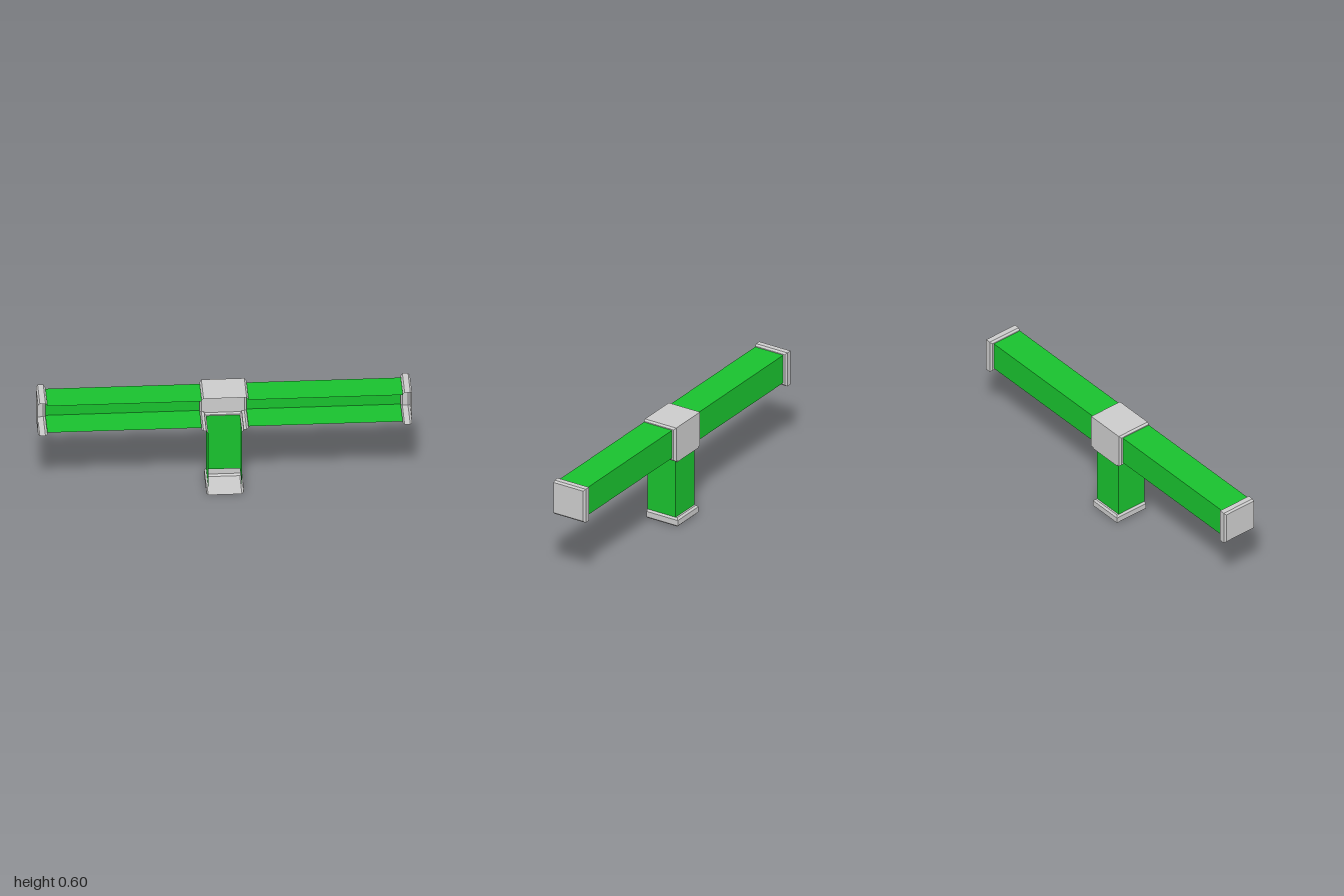
import * as THREE from 'three';

const FRONT = 0.1; // every channel is cut open along this plane

const grey = new THREE.MeshStandardMaterial({ color: 0xcccccc, flatShading: true, side: THREE.DoubleSide });
const green = new THREE.MeshStandardMaterial({ color: 0x19c12e, flatShading: true, side: THREE.DoubleSide });

// Skins U-shaped sections [s, low, high, back, openLow], open to the front.
// s runs along x (horizontal) or y (vertical); a section with back = FRONT closes an end.
function channel(name, sections, vertical, material) {
  const point = (s, t, z) => vertical ? new THREE.Vector3(t, s, z) : new THREE.Vector3(s, t, z);
  const rows = sections.map(([s, lo, hi, back]) =>
    [point(s, lo, FRONT), point(s, lo, back), point(s, hi, back), point(s, hi, FRONT)]);
  const positions = [];
  const addTriangle = (a, b, c) => {
    const area = b.clone().sub(a).cross(c.clone().sub(a)).length();
    if (area < 1e-8) return;
    for (const p of vertical ? [a, b, c] : [a, c, b]) positions.push(p.x, p.y, p.z);
  };
  for (let i = 0; i + 1 < rows.length; i++) {
    for (let j = 0; j < 3; j++) {
      if (j === 0 && sections[i][4]) continue;
      const a = rows[i][j], b = rows[i + 1][j], c = rows[i + 1][j + 1], d = rows[i][j + 1];
      addTriangle(a, b, c);
      addTriangle(a, c, d);
    }
  }
  const geometry = new THREE.BufferGeometry();
  geometry.setAttribute('position', new THREE.Float32BufferAttribute(positions, 3));
  geometry.computeVertexNormals();
  const mesh = new THREE.Mesh(geometry, material);
  mesh.name = name;
  return mesh;
}

// Same sections seen from the other end
const mirrored = (sections) => sections.map(([s, ...rest]) => [-s, ...rest]).reverse();

export function createModel() {
  const model = new THREE.Group();
  model.name = 'teeDuct';

  // Horizontal arms and their bevelled end caps
  const arm = [[0.125, 0.42, 0.585, -0.08], [0.95, 0.42, 0.585, -0.08]];
  const cap = [
    [0.95, 0.42, 0.585, -0.08],
    [0.95, 0.41, 0.59, -0.09],
    [0.96, 0.4, 0.6, -0.1],
    [0.99, 0.4, 0.6, -0.1],
    [1, 0.41, 0.59, -0.09],
    [1, 0.41, 0.59, FRONT],
  ];
  model.add(channel('leftArm', arm, false, green));
  model.add(channel('rightArm', mirrored(arm), false, green));
  model.add(channel('leftEndCap', cap, false, grey));
  model.add(channel('rightEndCap', mirrored(cap), false, grey));

  // Central joint, its floor open above the leg
  const half = [
    [-0.125, 0.42, 0.585, -0.08],
    [-0.125, 0.41, 0.59, -0.09],
    [-0.115, 0.4, 0.6, -0.1],
    [-0.1, 0.4, 0.6, -0.1, true],
  ];
  const otherHalf = mirrored(half).map((section) => section.slice(0, 4));
  model.add(channel('centreJoint', [...half, ...otherHalf], false, grey));

  // Collar under the joint
  model.add(channel('legCollar', [
    [0.385, -0.09, 0.09, -0.08],
    [0.385, -0.09, 0.09, -0.09],
    [0.393, -0.1, 0.1, -0.1],
    [0.4, -0.1, 0.1, -0.1],
  ], true, grey));

  // Vertical leg and its foot cap
  model.add(channel('leg', [
    [0.052, -0.09, 0.09, -0.08],
    [0.385, -0.09, 0.09, -0.08],
  ], true, green));
  model.add(channel('footCap', [
    [0, -0.09, 0.09, FRONT],
    [0, -0.09, 0.09, -0.09],
    [0.01, -0.1, 0.1, -0.1],
    [0.042, -0.1, 0.1, -0.1],
    [0.052, -0.09, 0.09, -0.09],
    [0.052, -0.09, 0.09, -0.08],
  ], true, grey));

  return model;
}
